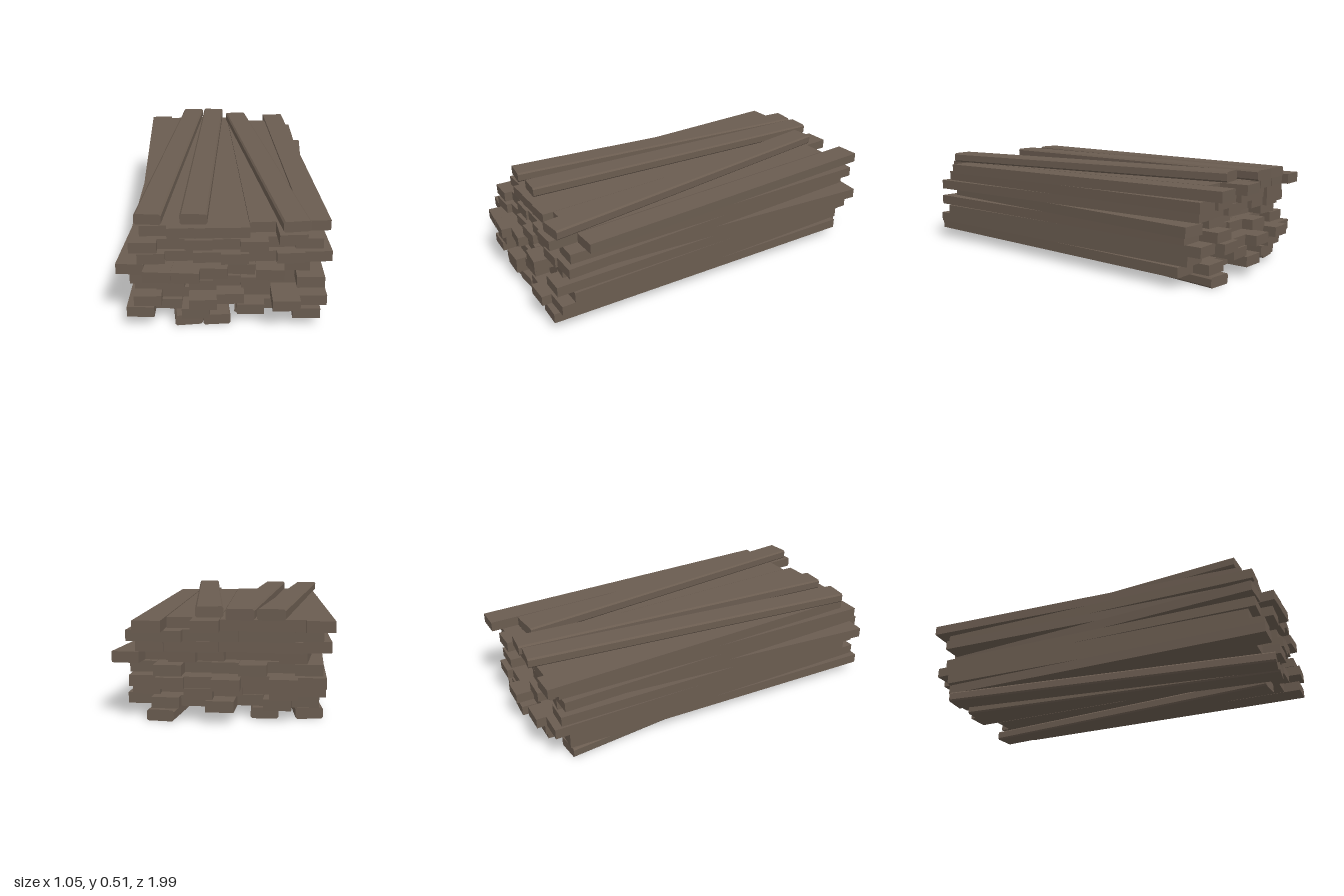
import * as THREE from 'three';

const LENGTH = 1.78, WIDTH = 0.127, PITCH = 0.0515;

// Inner planks are plain boards; the outer ones have chamfered long edges.
function chamferedPlank() {
  const w = WIDTH / 2, h = PITCH / 2, c = 0.008;
  const s = new THREE.Shape([
    [-w + c, -h], [w - c, -h], [w, -h + c], [w, h - c],
    [w - c, h], [-w + c, h], [-w, h - c], [-w, -h + c],
  ].map(([x, y]) => new THREE.Vector2(x, y)));
  return new THREE.ExtrudeGeometry(s, { depth: LENGTH, bevelEnabled: false })
    .translate(0, 0, -LENGTH / 2);
}

// x: left edge at the front, shift: sideways drift towards the back,
// ends: how far each plank is pushed forward.
const innerLayers = [
  { x: -0.482, shift: 0.063, ends: [0.04, -0.03, 0.06, -0.08, 0.03, -0.02, 0.07] },
  { x: -0.448, shift: 0, ends: [0.03, -0.05, 0.07, 0.02, -0.06, 0.09, 0.04] },
  { x: -0.448, shift: 0, ends: [-0.04, -0.09, -0.02, -0.11, -0.05, -0.08, -0.03] },
  { x: -0.465, shift: 0.03, ends: [0.0, 0.06, -0.03, 0.03, 0.05, -0.05, 0.05] },
  { x: -0.527, shift: 0.165, ends: [0.01, 0.09, 0.1, 0.06, 0.02, 0.08, -0.01] },
  { x: -0.427, shift: -0.045, ends: [0.01, -0.02, 0.0, 0.02, -0.01, 0.015, 0.0] },
  { x: -0.465, shift: 0.03, ends: [0.0, -0.04, -0.02, -0.03, 0.0, -0.05, -0.03] },
  { x: -0.42, shift: -0.063, ends: [-0.07, -0.04, -0.04, -0.04, -0.1, 0.04, -0.11] },
];

// Loose planks on the outside: [front centre x, shift, end offset]
const topPlanks = [[-0.382, 0.18, -0.08], [-0.171, 0.105, -0.08], [0.297, -0.218, 0.015]];
const bottomPlanks = [[-0.195, -0.18, 0.035], [-0.066, -0.105, 0.03], [0.08, 0.218, -0.055]];

export function createModel() {
  const wood = new THREE.MeshStandardMaterial({ color: 0x6a5c50 });
  wood.name = 'weatheredWood';
  const board = new THREE.BoxGeometry(WIDTH, PITCH, LENGTH);
  const chamfered = chamferedPlank();
  const stack = new THREE.Group();
  stack.name = 'plankStack';

  function addPlank(parent, geometry, frontX, shift, offset) {
    const plank = new THREE.Mesh(geometry, wood);
    plank.name = 'plank';
    plank.position.set(frontX + shift / 2, 0, offset);
    plank.rotation.y = -Math.atan(shift / LENGTH);
    parent.add(plank);
  }

  function addLayer(name, level) {
    const layer = new THREE.Group();
    layer.name = name;
    layer.position.y = (level + 0.5) * PITCH;
    stack.add(layer);
    return layer;
  }

  // Loose bottom planks
  const bottom = addLayer('bottomPlanks', 0);
  bottomPlanks.forEach((p) => addPlank(bottom, chamfered, ...p));

  // Eight close-packed layers, each slightly twisted
  innerLayers.forEach(({ x, shift, ends }, i) => {
    const layer = addLayer('plankLayer' + (i + 1), i + 1);
    ends.forEach((end, k) => addPlank(layer, board, x + WIDTH * (k + 0.5), shift, end));
  });

  // Loose top planks
  const top = addLayer('topPlanks', 9);
  topPlanks.forEach((p) => addPlank(top, chamfered, ...p));

  return stack;
}
